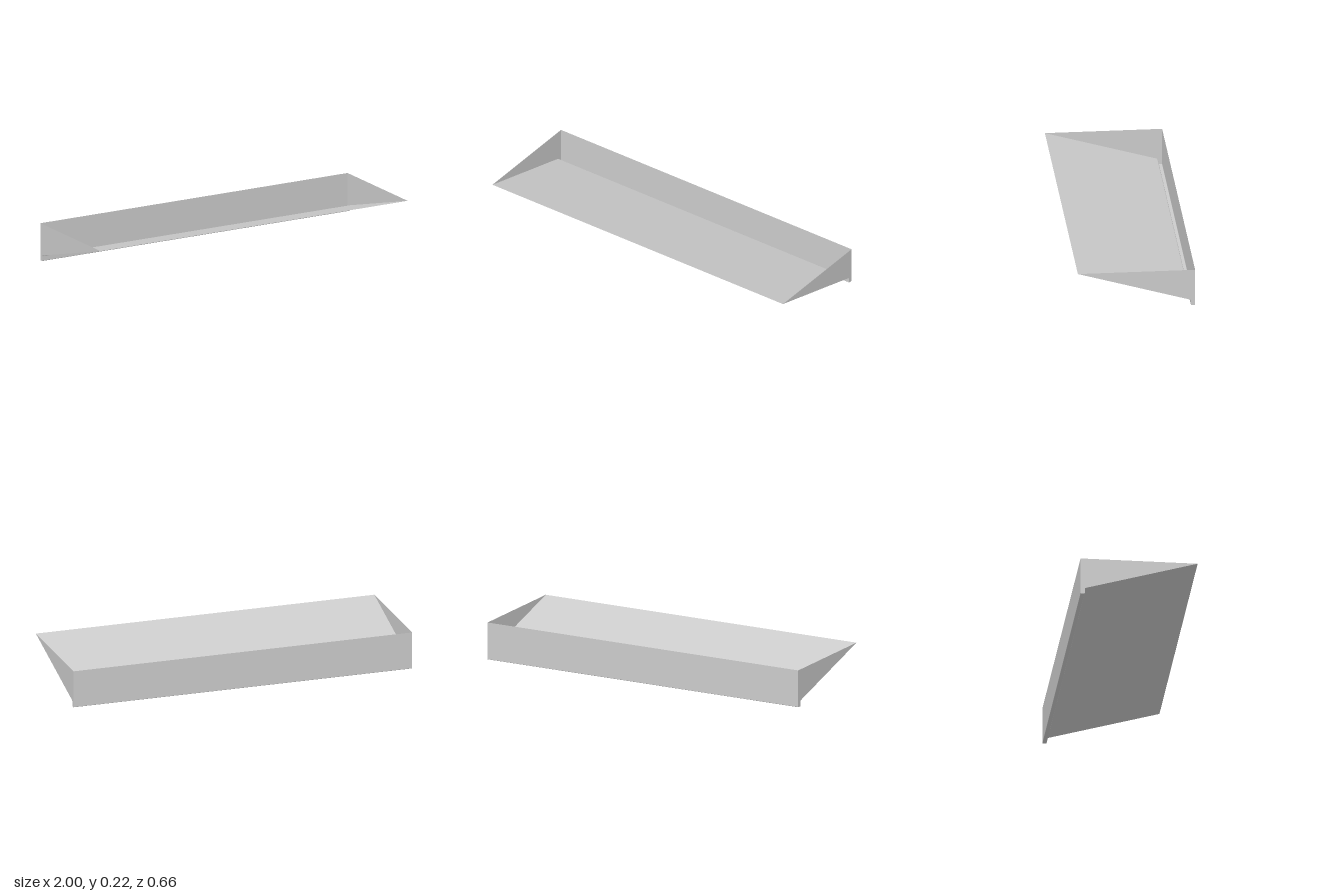
import * as THREE from 'three';

const HALF = 1; // half the length along x

// Corner points of the cross-section (z, y): front rim, floor, drip lip, back rim
const CORNERS = [[0.33, 0.216], [-0.305, 0.034], [-0.305, 0.001], [-0.329, 0.001], [-0.329, 0.216]]
  .map(([z, y]) => new THREE.Vector2(z, y - 0.001));
const RADII = [0, 0.006, 0.004, 0.004, 0];

// Straight runs joined by small rounded bends
function profileCurves() {
  const curves = [];
  let from = CORNERS[0];
  for (let i = 1; i < CORNERS.length; i++) {
    const corner = CORNERS[i];
    const next = CORNERS[i + 1];
    const toward = (p) => p.clone().sub(corner).setLength(RADII[i]).add(corner);
    const start = next ? toward(CORNERS[i - 1]) : corner;
    curves.push(new THREE.LineCurve(from, start));
    if (next) {
      from = toward(next);
      curves.push(new THREE.QuadraticBezierCurve(start, corner, from));
    }
  }
  return curves;
}

// Sweep one curve along x with smooth normals
function sweep(curve, steps) {
  const positions = [], normals = [], index = [];
  for (let i = 0; i <= steps; i++) {
    const p = curve.getPoint(i / steps);
    const t = curve.getTangent(i / steps);
    for (const x of [-HALF, HALF]) {
      positions.push(x, p.y, p.x);
      normals.push(0, t.x, -t.y);
    }
    if (i < steps) {
      const a = i * 2;
      index.push(a, a + 2, a + 1, a + 1, a + 2, a + 3);
    }
  }
  const g = new THREE.BufferGeometry();
  g.setAttribute('position', new THREE.Float32BufferAttribute(positions, 3));
  g.setAttribute('normal', new THREE.Float32BufferAttribute(normals, 3));
  g.setIndex(index);
  return g;
}

export function createModel() {
  const group = new THREE.Group();
  group.name = 'tray';
  const material = new THREE.MeshStandardMaterial({ color: 0xcccccc, side: THREE.DoubleSide });
  const add = (geometry, name) => {
    const mesh = new THREE.Mesh(geometry, material);
    mesh.name = name;
    group.add(mesh);
    return mesh;
  };

  // Folded sheet: sloping floor, lip and back wall
  const names = ['slopingFloor', 'floorBend', 'lipFront', 'lipFrontBend', 'lipBottom', 'lipBackBend', 'backWall'];
  const curves = profileCurves();
  curves.forEach((c, i) => add(sweep(c, i % 2 ? 6 : 1), names[i]));

  // Wedge-shaped end walls
  const outline = curves.flatMap((c, i) => c.getPoints(i % 2 ? 6 : 1).slice(0, -1));
  outline.push(CORNERS[CORNERS.length - 1]);
  const end = new THREE.ShapeGeometry(new THREE.Shape(outline.map((p) => new THREE.Vector2(-p.x, p.y))));
  end.rotateY(Math.PI / 2);
  add(end, 'leftEndWall').position.x = HALF;
  add(end, 'rightEndWall').position.x = -HALF;

  return group;
}
